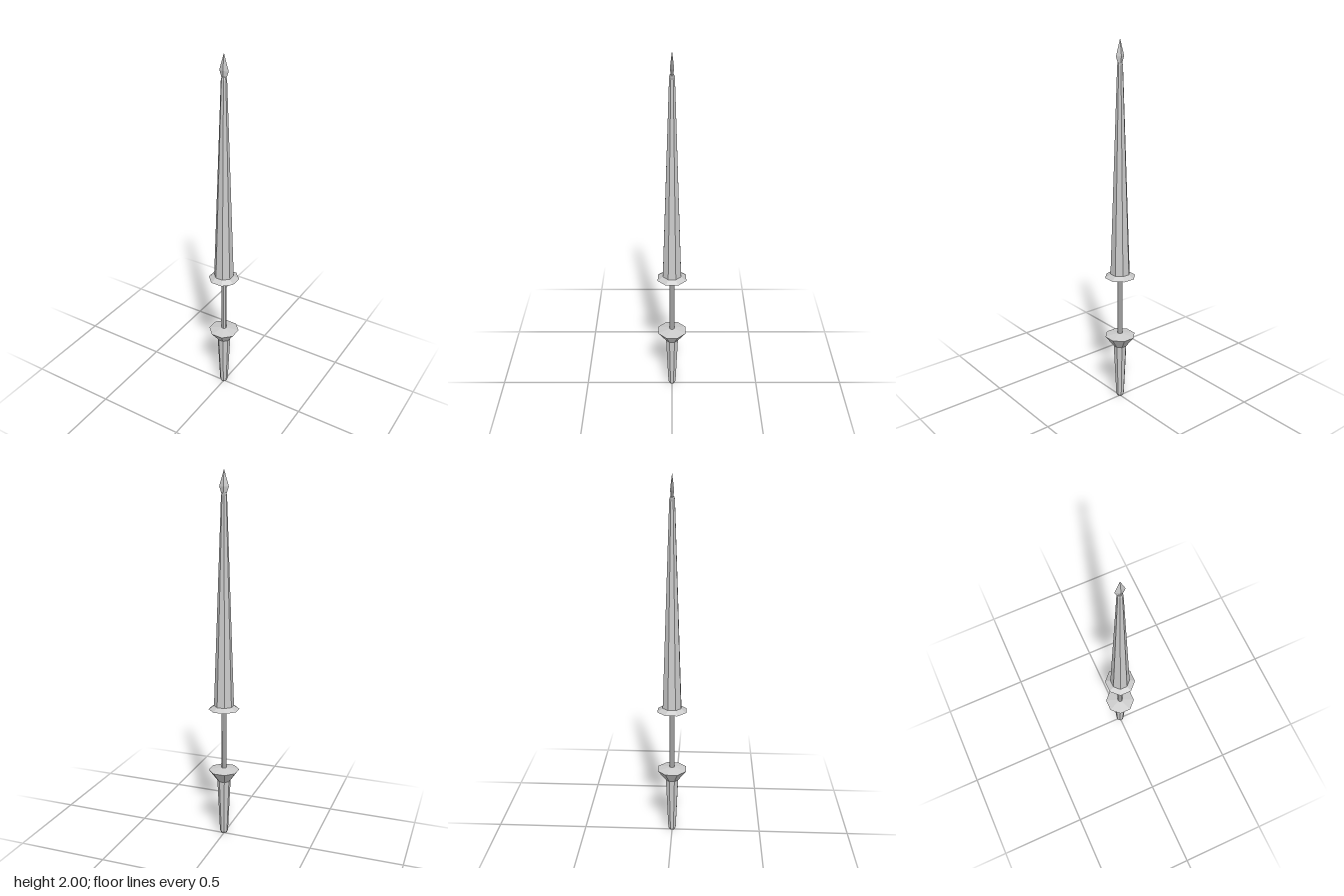
import * as THREE from 'three';

const material = new THREE.MeshStandardMaterial({ color: 0xcccccc, flatShading: true });

// Faceted turned part: profile is [half width, y] from bottom to top
function turned(name, profile, sides = 8, phase = Math.PI / sides) {
  const toCorner = 1 / Math.cos(phase); // half width across flats -> corner radius
  const points = profile.map(([w, y]) => new THREE.Vector2(w * toCorner, y));
  const mesh = new THREE.Mesh(new THREE.LatheGeometry(points, sides, phase), material);
  mesh.name = name;
  return mesh;
}

export function createModel() {
  const lance = new THREE.Group();
  lance.name = 'lance';

  // Butt: rounded end, tapered handle, flared collar
  lance.add(turned('butt', [
    [0, 0], [0.014, 0.004], [0.021, 0.02], [0.034, 0.325],
    [0.078, 0.388], [0.013, 0.402], [0, 0.402],
  ]));

  // Thin grip rod between the collar and the hand guard
  lance.add(turned('grip', [[0.013, 0.39], [0.013, 0.74]]));

  // Shallow disc guarding the hand
  lance.add(turned('handGuard', [
    [0, 0.724], [0.013, 0.724], [0.078, 0.742], [0.05, 0.762], [0, 0.762],
  ]));

  // Long tapering shaft with a small domed end
  lance.add(turned('shaft', [
    [0.05, 0.76], [0.014, 1.872], [0.01, 1.885], [0, 1.885],
  ]));

  // Flattened four-sided spearhead, corners on the axes
  const tip = turned('spearhead', [[0, 1.875], [0.012, 1.875], [0.026, 1.915], [0, 2]], 4, 0);
  tip.scale.z = 0.4;
  lance.add(tip);

  return lance;
}
